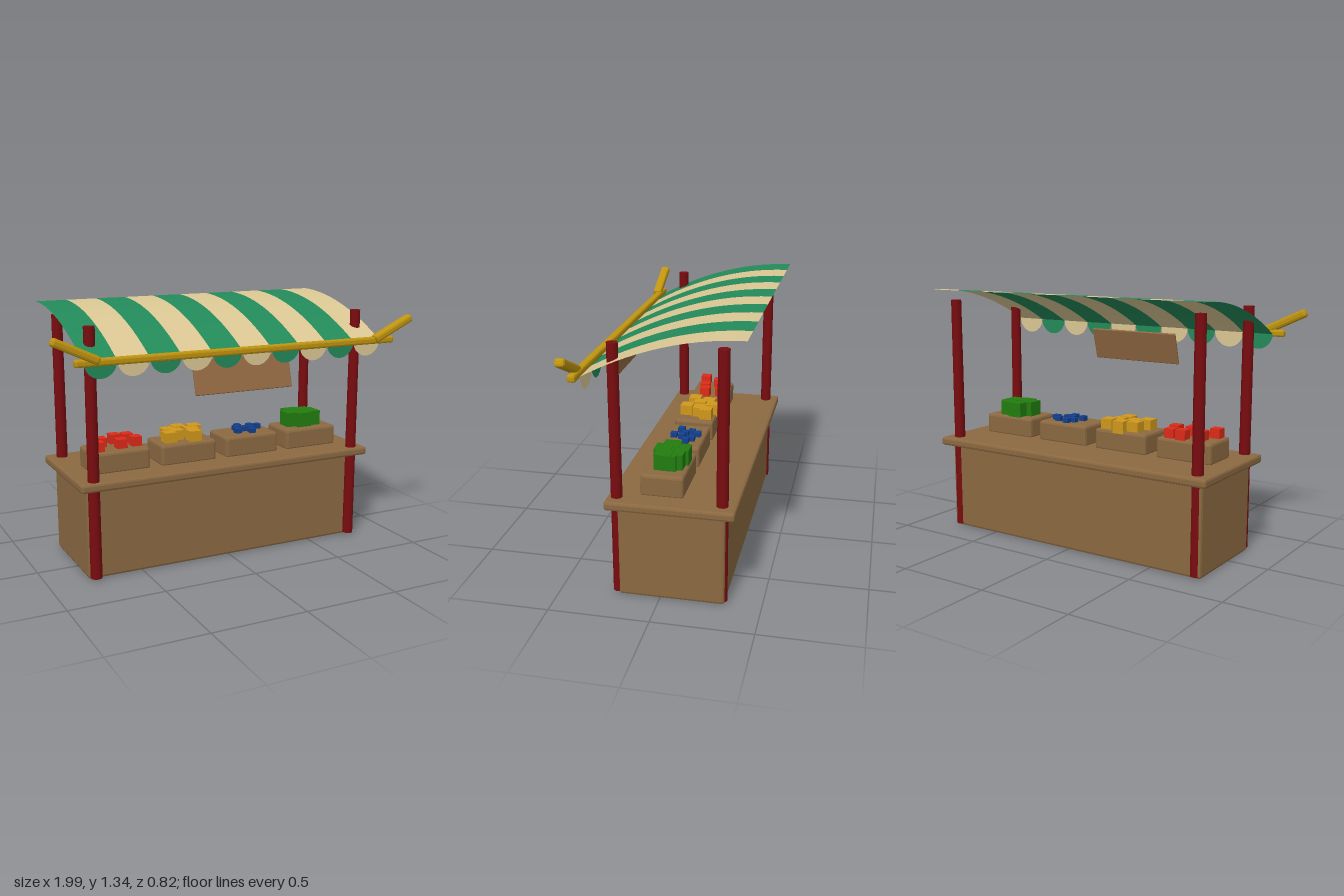
import * as THREE from 'three';
import { RoundedBoxGeometry } from 'three/addons/geometries/RoundedBoxGeometry.js';

const mat = (name, color, side = THREE.FrontSide) => {
  const m = new THREE.MeshStandardMaterial({ color, side });
  m.name = name;
  return m;
};

export function createModel() {
  const model = new THREE.Group();
  model.name = 'marketStall';

  const wood = mat('brown wood', 0x8b6941);
  const signWood = mat('sign wood', 0x946a43);
  const postRed = mat('dark red', 0x7a0c10);
  const gold = mat('gold', 0xbf940f);
  const clothGreen = mat('awning green', 0x238a5a, THREE.DoubleSide);
  const clothCream = mat('awning cream', 0xdac793, THREE.DoubleSide);
  const red = mat('produce red', 0xdd2a18);
  const yellow = mat('produce yellow', 0xd0981c);
  const blue = mat('produce blue', 0x12408f);
  const green = mat('produce green', 0x227d10);

  const add = (name, geometry, material, x = 0, y = 0, z = 0, parent = model) => {
    const mesh = new THREE.Mesh(geometry, material);
    mesh.name = name;
    mesh.position.set(x, y, z);
    parent.add(mesh);
    return mesh;
  };

  // Box with flat chamfered edges
  const chamferBox = (w, h, d, c) => {
    const rounded = new RoundedBoxGeometry(w, h, d, 1, c);
    const g = rounded.index ? rounded.toNonIndexed() : rounded;
    g.computeVertexNormals();
    return g;
  };

  // Stand and counter top
  add('standBody', chamferBox(1.58, 0.48, 0.525, 0.014), wood, 0, 0.245, -0.057);
  add('counterTop', chamferBox(1.665, 0.045, 0.63, 0.012), wood, 0, 0.497, -0.055);

  // Four posts
  const postGeo = new THREE.CylinderGeometry(0.028, 0.03, 1.27, 10);
  for (const x of [-0.755, 0.755]) {
    add('frontPost', postGeo, postRed, x, 0.65, 0.213);
    add('backPost', postGeo, postRed, x, 0.65, -0.3);
  }

  // Striped awning: ten curved strips, each ending in a hanging scallop
  const stripe = 0.1655;
  const awning = new THREE.Group();
  awning.name = 'awning';
  model.add(awning);
  const stripGeo = new THREE.PlaneGeometry(stripe, 1, 1, 14);
  const p = stripGeo.attributes.position;
  for (let i = 0; i < p.count; i++) {
    const t = p.getY(i) + 0.5; // 0 at the front edge, 1 at the back
    p.setY(i, 1.135 + 0.21 * (2 * t - t * t));
    p.setZ(i, 0.345 - 0.757 * t);
  }
  stripGeo.computeVertexNormals();
  const scallopGeo = new THREE.CircleGeometry(stripe / 2, 20, Math.PI, Math.PI);
  for (let i = 0; i < 10; i++) {
    const cloth = i % 2 ? clothCream : clothGreen;
    const x = (i - 4.5) * stripe - 0.003;
    add('awningStripe', stripGeo, cloth, x, 0, 0, awning);
    add('awningScallop', scallopGeo, cloth, x, 1.137, 0.345, awning);
  }

  // Front beam with raised arms at both ends
  add('frontBeam', chamferBox(1.77, 0.036, 0.04, 0.01), gold, 0, 1.139, 0.371);
  const armGeo = chamferBox(0.25, 0.042, 0.05, 0.013);
  for (const s of [-1, 1]) {
    add('beamArm', armGeo, gold, s * 0.879, 1.198, 0.381).rotation.z = s * 0.44;
  }

  // Blank board hanging under the awning
  add('hangingBoard', chamferBox(0.542, 0.178, 0.015, 0.004), signWood, 0, 1.018, 0.343)
    .rotation.x = -0.266;

  // Crates with cube produce: [x, z] offsets from each crate centre
  const crates = [
    { name: 'redProduce', x: -0.565, material: red, size: 0.055, top: 0.675,
      spots: [[-0.108, 0.055], [-0.066, -0.03], [0.022, -0.07], [0.022, 0.035],
        [0.108, 0.02], [0.09, -0.065]] },
    { name: 'yellowProduce', x: -0.187, material: yellow, size: 0.066, top: 0.68,
      spots: [[-0.088, 0.04], [-0.06, -0.045], [0.01, -0.075], [-0.03, 0.0],
        [0.045, 0.06], [0.06, -0.01], [0.095, -0.055]] },
    { name: 'blueProduce', x: 0.188, material: blue, size: 0.034, top: 0.652,
      spots: [[-0.05, 0.03], [-0.03, -0.03], [0.0, 0.0], [0.025, 0.055],
        [0.04, 0.01], [0.06, -0.045], [0.095, -0.02], [-0.005, -0.065]] },
    { name: 'greenProduce', x: 0.56, material: green, size: 0.085, top: 0.705,
      spots: [[-0.07, 0.0], [-0.035, -0.055], [-0.02, 0.03], [0.03, -0.04],
        [0.045, 0.015], [0.05, -0.01]] },
  ];
  const crateGeo = chamferBox(0.314, 0.115, 0.213, 0.014);
  for (const c of crates) {
    const crate = new THREE.Group();
    crate.name = c.name + 'Crate';
    crate.position.x = c.x;
    model.add(crate);
    add('crate', crateGeo, wood, 0, 0.568, 0.002, crate);
    const cube = new THREE.BoxGeometry(c.size, c.size, c.size);
    c.spots.forEach(([x, z], i) =>
      add(c.name, cube, c.material, x, c.top - c.size / 2 - (i % 2) * 0.002, z, crate));
  }

  return model;
}
